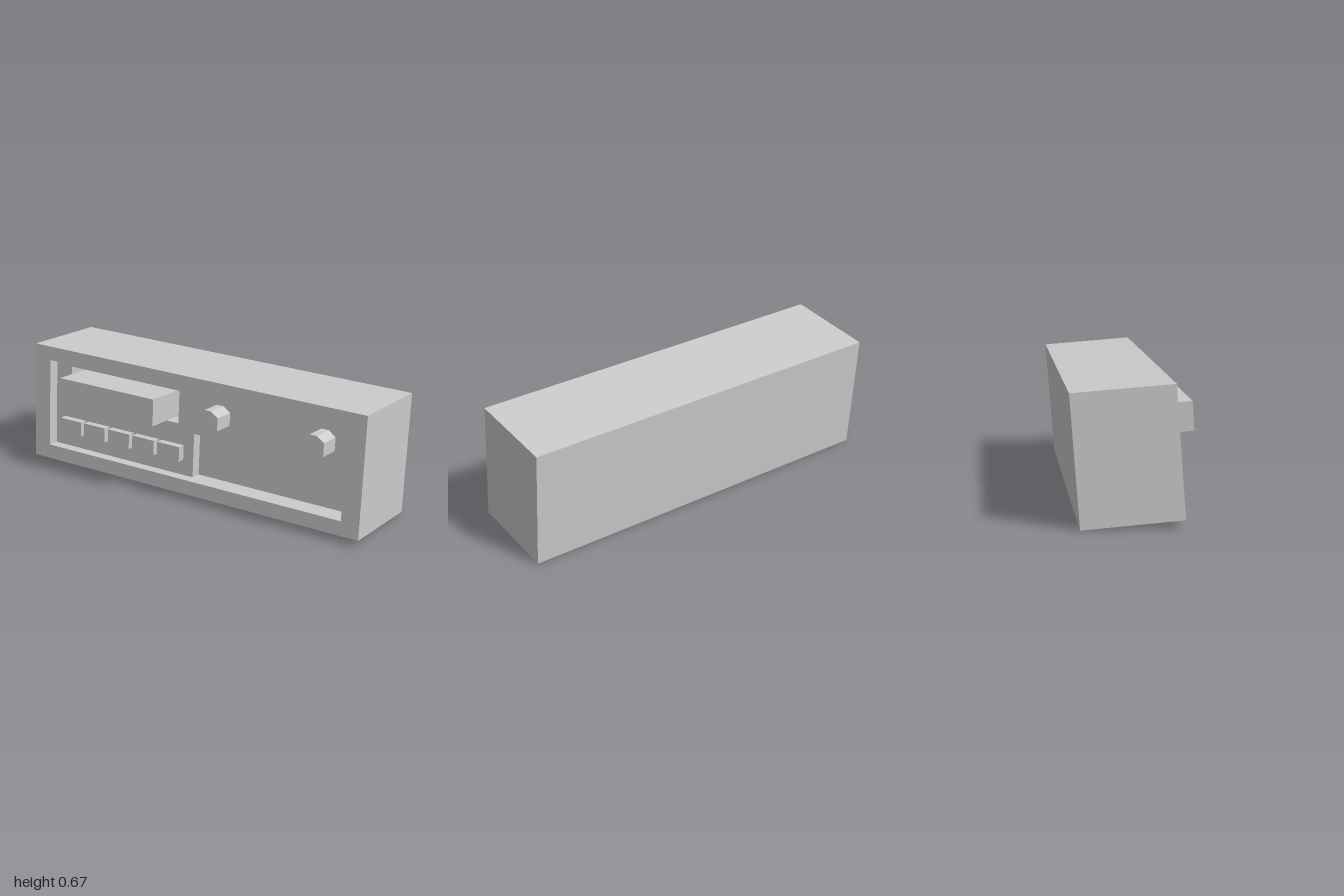
import * as THREE from 'three';

const material = new THREE.MeshStandardMaterial({ color: 0xcccccc, flatShading: true });

function polygon(points, Type = THREE.Shape) {
  return new Type(points.map(([x, y]) => new THREE.Vector2(x, y)));
}

const rect = (x0, x1, y0, y1) => [[x0, y0], [x1, y0], [x1, y1], [x0, y1]];

export function createModel() {
  // Tilted unit: the front face lies on local z = 0, its lower edge on local y = 0
  const unit = new THREE.Group();
  unit.name = 'tiltedUnit';

  // Extrude an outline (with optional holes) between two depths
  function slab(name, outline, z0, z1, holes = []) {
    const shape = polygon(outline);
    shape.holes = holes.map((h) => polygon(h, THREE.Path));
    const geometry = new THREE.ExtrudeGeometry(shape, { depth: z1 - z0, bevelEnabled: false });
    geometry.translate(0, 0, z0);
    const mesh = new THREE.Mesh(geometry, material);
    mesh.name = name;
    unit.add(mesh);
  }

  // Depths of the stepped front
  const back = -0.488, slotBack = -0.34, lowerFace = -0.117, upperFace = -0.06;
  const height = 0.633, bottom = 0.077, top = 0.558, step = 0.315;
  const outer = rect(-1, 1, 0, height);

  // Casing: solid rear and a frame around the recessed front
  slab('rearCasing', outer, back, slotBack);
  slab('frontFrame', outer, slotBack, 0, [rect(-0.9, 0.9, bottom, top)]);

  // Faceplate with the tape slot, stepping back at the lower right
  slab('faceplate',
    [[-0.9, bottom], [0, bottom], [0, step], [0.9, step], [0.9, top], [-0.9, top]],
    slotBack, upperFace, [rect(-0.8, -0.1, 0.352, 0.527)]);
  slab('lowerPanel', rect(0, 0.9, bottom, step), slotBack, lowerFace);

  // Tape sticking out of the slot
  slab('tape', rect(-0.75, -0.15, 0.365, 0.508), slotBack, 0.103);

  // Row of push buttons
  for (let i = 0; i < 5; i++) {
    const x = -0.84 + i * 0.16;
    slab('button', rect(x, x + 0.138, 0.16, 0.24), upperFace, -0.018);
  }

  // Eight-sided knobs
  const knob = [[-0.02, -0.0625], [0.02, -0.0625], [0.06, -0.035], [0.06, 0.035],
    [0.02, 0.0625], [-0.02, 0.0625], [-0.06, 0.035], [-0.06, -0.035]];
  for (const x of [0.15, 0.75]) {
    slab('knob', knob.map(([kx, ky]) => [x + kx, 0.4365 + ky]), upperFace, 0.058);
  }

  unit.rotation.x = -0.0745;
  unit.position.set(0, 0.0364, 0.23);

  const model = new THREE.Group();
  model.name = 'dashboardRadio';
  model.add(unit);
  return model;
}
